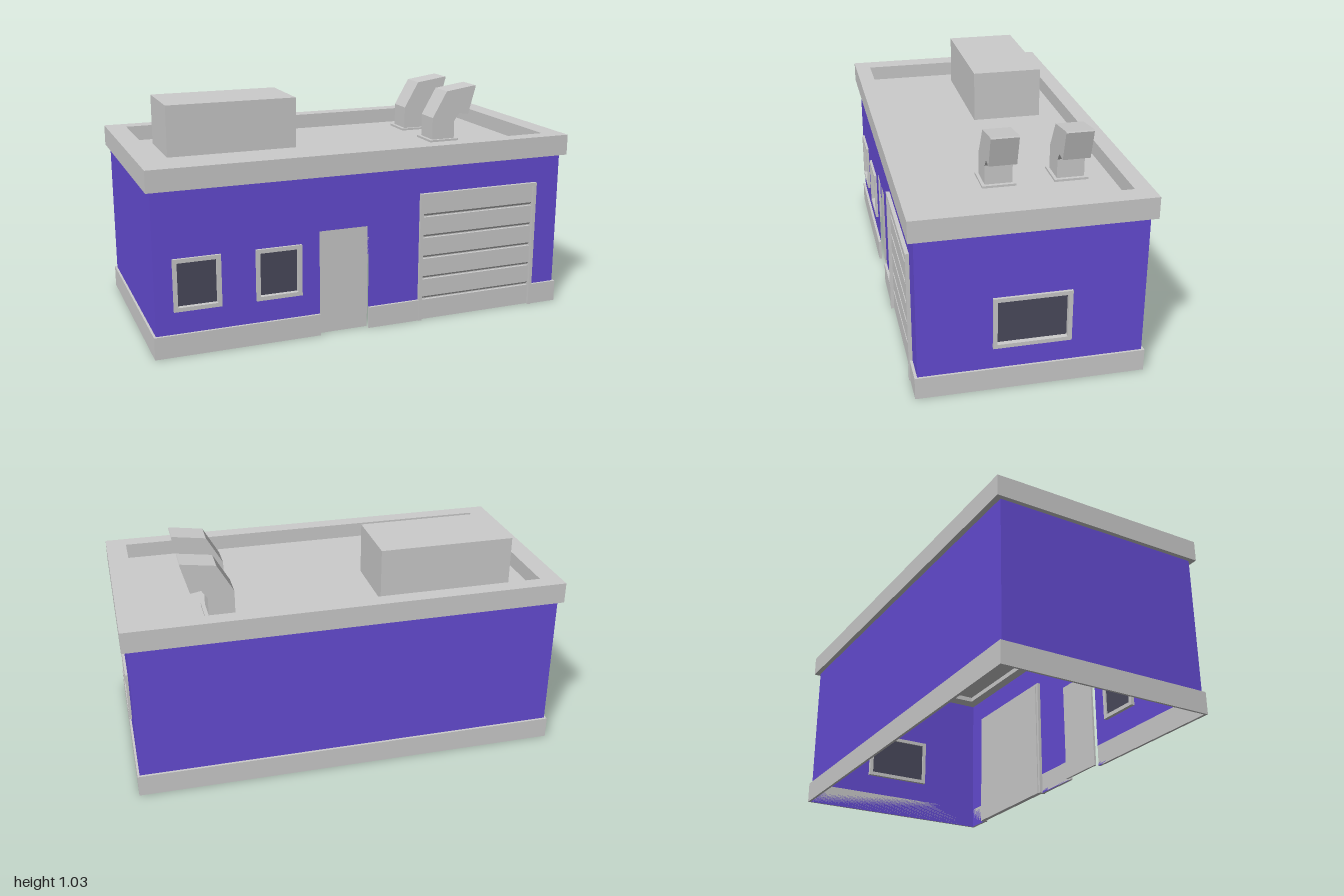
import * as THREE from 'three';

const mat = (color) => new THREE.MeshStandardMaterial({ color, side: THREE.DoubleSide, flatShading: true });

// Closed rectangle as a list of points
function rectPath(x0, x1, y0, y1) {
  return [[x0, y0], [x1, y0], [x1, y1], [x0, y1]].map(([x, y]) => new THREE.Vector2(x, y));
}

function rectShape(outer, holes = []) {
  const shape = new THREE.Shape(rectPath(...outer));
  for (const h of holes) shape.holes.push(new THREE.Path(rectPath(...h)));
  return shape;
}

export function createModel() {
  const model = new THREE.Group();
  const grey = mat(0xcccccc), paint = mat(0x654cd4), glass = mat(0x4a4a5c);
  const X0 = -0.98, X1 = 0.975, Z = 0.486, WALL_TOP = 0.74, DECK = 0.76;

  function add(name, geometry, material = grey, parent = model) {
    const mesh = new THREE.Mesh(geometry, material);
    mesh.name = name;
    parent.add(mesh);
    return mesh;
  }
  function box(name, x0, x1, y0, y1, z0, z1, material = grey, parent = model) {
    const mesh = add(name, new THREE.BoxGeometry(x1 - x0, y1 - y0, z1 - z0), material, parent);
    mesh.position.set((x0 + x1) / 2, (y0 + y1) / 2, (z0 + z1) / 2);
    return mesh;
  }
  const extrude = (shape, depth) => new THREE.ExtrudeGeometry(shape, { depth, bevelEnabled: false });

  // Openings as [x0, x1, y0, y1]
  const frontWindows = [[-0.9, -0.69, 0.203, 0.437], [-0.535, -0.325, 0.203, 0.437]];
  const sideWindow = [-0.168, 0.168, 0.2, 0.437];
  const door = [-0.24, -0.005, 0, 0.485];
  const garage = [0.26, 0.835, 0, 0.595];

  // Walls; door openings are notches in the front outline
  const outline = [[X0, 0]];
  for (const [x0, x1, , top] of [door, garage]) outline.push([x0, 0], [x0, top], [x1, top], [x1, 0]);
  outline.push([X1, 0], [X1, WALL_TOP], [X0, WALL_TOP]);
  const frontShape = new THREE.Shape(outline.map(([x, y]) => new THREE.Vector2(x, y)));
  for (const w of frontWindows) frontShape.holes.push(new THREE.Path(rectPath(...w)));
  add('frontWall', new THREE.ShapeGeometry(frontShape), paint).position.z = Z;

  const backWall = add('backWall', new THREE.ShapeGeometry(rectShape([-X1, -X0, 0, WALL_TOP])), paint);
  backWall.rotation.y = Math.PI;
  backWall.position.z = -Z;
  const leftWall = add('leftWall', new THREE.ShapeGeometry(rectShape([-Z, Z, 0, WALL_TOP], [sideWindow])), paint);
  leftWall.rotation.y = Math.PI / 2;
  leftWall.position.x = X1;
  const rightWall = add('rightWall', new THREE.ShapeGeometry(rectShape([-Z, Z, 0, WALL_TOP])), paint);
  rightWall.rotation.y = -Math.PI / 2;
  rightWall.position.x = X0;

  // Plinth around the walls, interrupted at the doors
  const P = 0.498, H = 0.1;
  for (const [a, b] of [[-0.99, door[0]], [door[1], garage[0]], [garage[1], 0.985]]) {
    box('frontPlinth', a, b, 0, H, Z, P);
  }
  box('backPlinth', -0.99, 0.985, 0, H, -P, -Z);
  box('leftPlinth', X1, 0.985, 0, H, -Z, Z);
  box('rightPlinth', -0.99, X0, 0, H, -Z, Z);

  // Parapet ring and sunken roof deck
  const parapet = add('parapet', extrude(rectShape([-1, 1, -0.511, 0.511], [[-0.905, 0.905, -0.435, 0.435]]), 0.096));
  parapet.rotation.x = -Math.PI / 2;
  parapet.position.y = 0.735;
  const deck = add('roofDeck', new THREE.PlaneGeometry(1.81, 0.87));
  deck.rotation.x = -Math.PI / 2;
  deck.position.y = DECK;

  // Windows: raised frame with recessed pane, built facing +z
  function makeWindow(name, [x0, x1, y0, y1]) {
    const group = new THREE.Group();
    group.name = name;
    const inner = [x0 + 0.018, x1 - 0.018, y0 + 0.018, y1 - 0.018];
    add('windowFrame', extrude(rectShape([x0, x1, y0, y1], [inner]), 0.03), grey, group).position.z = -0.018;
    add('windowPane', new THREE.ShapeGeometry(rectShape(inner)), glass, group).position.z = -0.01;
    model.add(group);
    return group;
  }
  for (const w of frontWindows) makeWindow('frontWindow', w).position.z = Z;
  const side = makeWindow('sideWindow', sideWindow);
  side.rotation.y = Math.PI / 2;
  side.position.x = X1;

  // Entrance door, set back in its opening
  box('door', door[0], door[1], 0, door[3], 0.462, 0.472);

  // Garage door frame
  const [g0, g1, , gTop] = garage;
  const frameTop = gTop + 0.015;
  box('garageFrameSide', g0 - 0.015, g0, 0, frameTop, 0.47, 0.503);
  box('garageFrameSide', g1, g1 + 0.015, 0, frameTop, 0.47, 0.503);
  box('garageFrameTop', g0, g1, gTop, frameTop, 0.47, 0.503);

  // Garage door: six slats with an undercut lower edge, profile in (z, y)
  const profile = new THREE.Shape();
  profile.moveTo(0.465, 0);
  for (let i = 0; i < 6; i++) {
    const y = i * 0.1;
    profile.lineTo(0.475, y);
    profile.lineTo(0.488, y + (i ? 0.012 : 0));
    profile.lineTo(0.488, Math.min(y + 0.096, gTop));
    if (i < 5) profile.lineTo(0.475, y + 0.096);
  }
  profile.lineTo(0.465, gTop);
  const slats = add('garageDoor', extrude(profile, g1 - g0));
  slats.rotation.y = -Math.PI / 2;
  slats.scale.z = -1;
  slats.position.x = g0;

  // Rooftop unit
  box('rooftopUnit', -0.8, -0.177, DECK, 1.0, -0.329, 0.002);

  // Two bent vents on flat flanges
  const bend = new THREE.Shape([
    [0.487, DECK], [0.605, DECK], [0.605, 0.857], [0.632, 0.893], [0.68, 0.885],
    [0.718, 1.02], [0.715, 1.026], [0.56, 1.004], [0.487, 0.877],
  ].map(([x, y]) => new THREE.Vector2(x, y)));
  for (const z of [0.0, -0.318]) {
    add('ventPipe', extrude(bend, 0.122)).position.z = z;
    box('ventFlange', 0.47, 0.622, DECK, DECK + 0.01, z - 0.014, z + 0.136);
  }
  return model;
}
